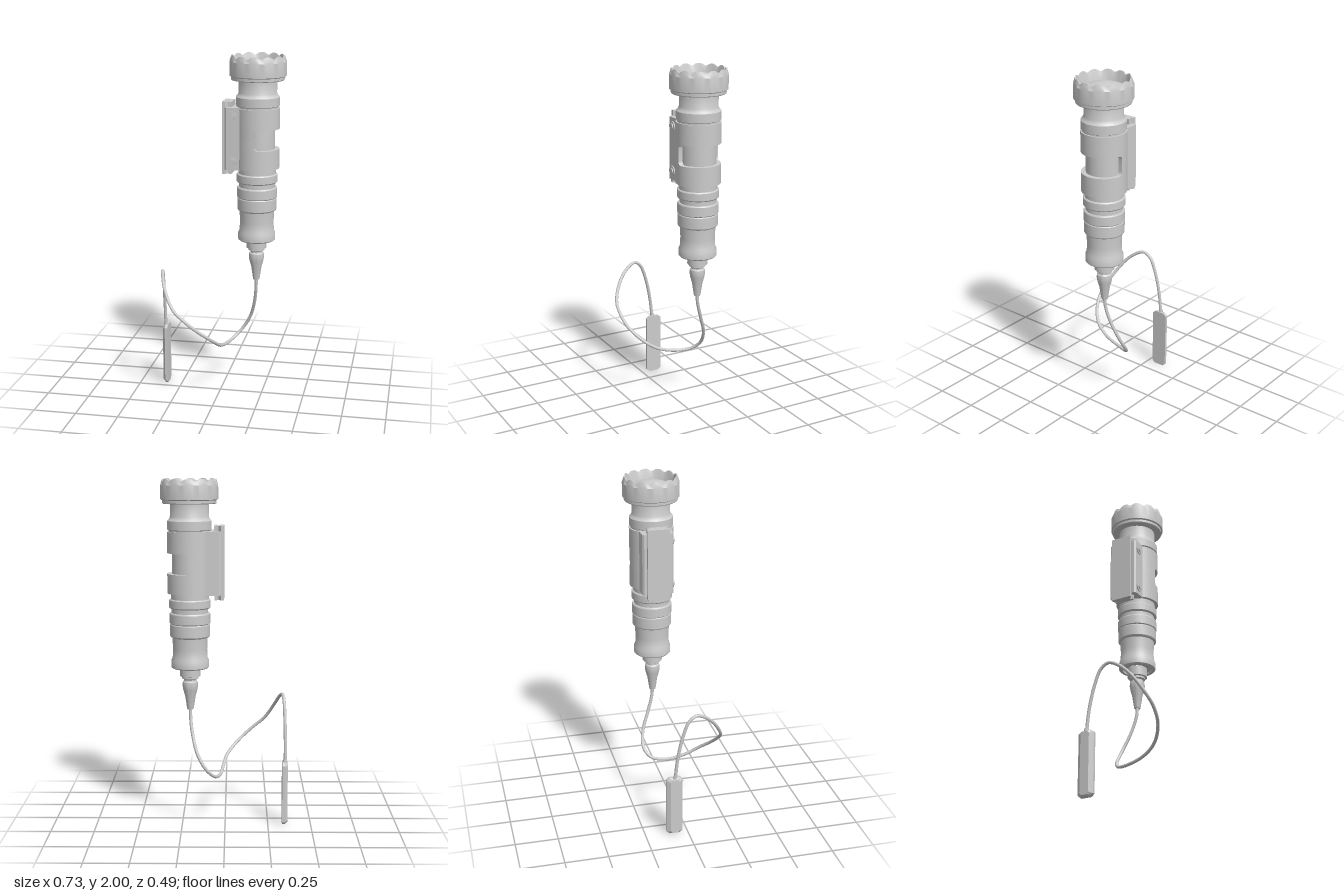
import * as THREE from 'three';
import { toCreasedNormals } from 'three/addons/utils/BufferGeometryUtils.js';

const AX = 0.2, AZ = -0.08; // axis of the torch
const material = new THREE.MeshStandardMaterial({ color: 0xcccccc });

export function createModel() {
  const model = new THREE.Group();
  const torch = new THREE.Group();
  torch.name = 'torch';
  torch.position.set(AX, 0, AZ);
  model.add(torch);

  const add = (parent, name, geometry, x = 0, y = 0, z = 0) => {
    const mesh = new THREE.Mesh(geometry, material);
    mesh.name = name;
    mesh.position.set(x, y, z);
    parent.add(mesh);
    return mesh;
  };
  const crease = (g) => toCreasedNormals(g, 0.5);
  const lathe = (pts, seg = 48) =>
    new THREE.LatheGeometry(pts.map(([r, y]) => new THREE.Vector2(r, y)), seg);

  // Strain relief where the cable leaves the tail
  add(torch, 'strainRelief', crease(lathe([
    [0, 0.684], [0.018, 0.684], [0.021, 0.70], [0.03, 0.76], [0.041, 0.80], [0.045, 0.825],
    [0.043, 0.845], [0.036, 0.852], [0.036, 0.86], [0.047, 0.866], [0.047, 0.877],
    [0.058, 0.88], [0.058, 0.935],
  ], 32)));

  // Tail cap and battery tube
  add(torch, 'body', crease(lathe([
    [0.05, 0.94], [0.085, 0.94], [0.085, 0.928], [0.102, 0.928], [0.108, 0.934], [0.108, 0.972],
    [0.1, 0.99], [0.098, 1.04], [0.101, 1.105], [0.11, 1.109], [0.114, 1.115], [0.114, 1.178],
    [0.111, 1.183], [0.116, 1.188], [0.116, 1.24], [0.112, 1.247], [0.104, 1.247], [0.104, 1.273],
    [0.113, 1.273], [0.118, 1.279], [0.118, 1.32], [0.113, 1.326], [0.108, 1.326], [0.108, 1.358],
    [0.1, 1.362], [0.1, 1.7], [0.118, 1.703], [0.118, 1.713], [0.125, 1.717], [0.125, 1.766],
    [0.119, 1.772], [0.117, 1.774], [0.109, 1.79], [0.109, 1.865],
  ])));

  // Head with a scalloped rim
  const head = lathe([
    [0.1, 1.862], [0.15, 1.862], [0.153, 1.866], [0.153, 1.881], [0.162, 1.886], [0.162, 1.965],
    [0.156, 1.985], [0.151, 2], [0.145, 2], [0.136, 1.965], [0.13, 1.935], [0.12, 1.935],
  ], 96);
  const p = head.attributes.position;
  for (let i = 0; i < p.count; i++) {
    if (p.getY(i) < 1.98) continue;
    const dip = 0.5 - 0.5 * Math.cos(12 * Math.atan2(p.getX(i), p.getZ(i)));
    p.setY(i, p.getY(i) - 0.014 * dip * dip);
  }
  add(torch, 'head', crease(head));

  // Domed lens
  const dome = [];
  for (let i = 0; i <= 10; i++) {
    const a = (i / 10) * Math.PI / 2;
    dome.push([0.13 * Math.cos(a), 1.937 + 0.035 * Math.sin(a) ** 2]);
  }
  add(torch, 'lens', lathe(dome));

  // Mount sleeve: two bands whose facing edges open into a round-cornered window
  const ro = 0.127, midY = 1.528, open = 0.058, corner = 0.022;
  const columns = [];
  for (let i = 0; i <= 48; i++) {
    const t = Math.PI * (1 - Math.cos(Math.PI * i / 48)) / 2;
    const s = Math.min(corner, ro * Math.min(t, Math.PI - t));
    columns.push([t, open - corner + Math.sqrt(Math.max(0, corner ** 2 - (corner - s) ** 2))]);
  }
  for (let i = 0; i <= 32; i++) columns.push([Math.PI * (1 + i / 32), 0]);
  const band = (ends) => {
    const pos = [], index = [], n = columns.length;
    for (const [t, h] of columns) {
      const [yb, yt] = ends(h);
      for (const [r, y] of [[0.099, yb], [ro, yb], [ro, yt], [0.099, yt]]) {
        pos.push(r * Math.sin(t), y, r * Math.cos(t));
      }
    }
    for (let i = 0; i < n; i++) for (let j = 0; j < 4; j++) {
      const k = (j + 1) % 4, m = (i + 1) % n;
      const a = i * 4 + j, b = m * 4 + j, c = m * 4 + k, d = i * 4 + k;
      index.push(a, b, d, c, d, b);
    }
    const g = new THREE.BufferGeometry();
    g.setAttribute('position', new THREE.Float32BufferAttribute(pos, 3));
    g.setIndex(index);
    return crease(g);
  };
  add(torch, 'sleeveLower', band((h) => [1.358, midY - h]));
  add(torch, 'sleeveUpper', band((h) => [midY + h, 1.705]));

  // Extrudes an outline given as (x, z) upward between two heights
  const upright = (pts, y0, y1) => {
    const shape = new THREE.Shape(pts.map(([x, z]) => new THREE.Vector2(x, -z)));
    const g = new THREE.ExtrudeGeometry(shape, { depth: y1 - y0, bevelEnabled: false });
    return g.rotateX(-Math.PI / 2).translate(0, y0, 0);
  };
  const mirrored = (half) => [...half, ...half.map(([x, z]) => [x, -z]).reverse()];

  // Rail clamp on the side of the sleeve
  const mount = new THREE.Group();
  mount.name = 'railMount';
  mount.position.z = AZ;
  model.add(mount);
  add(mount, 'clampBlock', upright(mirrored([
    [0.045, 0.05], [0.023, 0.068], [0.023, 0.08], [0.034, 0.09], [0.115, 0.09],
  ]), 1.353, 1.71));
  add(mount, 'rail', upright(mirrored([
    [0.005, 0.064], [0.023, 0.064], [0.036, 0.045], [0.042, 0.045], [0.046, 0.06], [0.06, 0.06],
  ]), 1.324, 1.74));
  for (const y of [1.405, 1.66]) {
    const screw = new THREE.Group();
    screw.name = 'clampScrew';
    screw.position.set(0.068, y, 0.09);
    mount.add(screw);
    add(screw, 'washer', new THREE.CylinderGeometry(0.029, 0.029, 0.012, 24).rotateX(Math.PI / 2));
    add(screw, 'screwHead', new THREE.CylinderGeometry(0.017, 0.02, 0.024, 24).rotateX(Math.PI / 2));
  }

  // Looping cable to the pressure switch
  const path = new THREE.CatmullRomCurve3([
    [0.2, 0.7, -0.08], [0.199, 0.64, -0.084], [0.187, 0.54, -0.112], [0.155, 0.425, -0.152],
    [0.105, 0.34, -0.16], [0.06, 0.293, -0.125], [0.028, 0.283, -0.04], [0.01, 0.31, 0.07],
    [-0.015, 0.36, 0.15], [-0.09, 0.435, 0.217], [-0.17, 0.505, 0.236], [-0.235, 0.562, 0.225],
    [-0.295, 0.662, 0.168], [-0.322, 0.722, 0.105], [-0.337, 0.743, 0.05], [-0.344, 0.715, 0.008],
    [-0.348, 0.63, -0.028], [-0.351, 0.49, -0.06], [-0.351, 0.34, -0.077],
  ].map((v) => new THREE.Vector3(...v)));
  add(model, 'cable', new THREE.TubeGeometry(path, 120, 0.0095, 10));

  // Pressure switch: a clipped slab that narrows toward its outer face
  const pad = new THREE.Shape([
    [0.03, 0], [0.048, 0.015], [0.048, 0.355], [0.03, 0.37],
    [-0.03, 0.37], [-0.048, 0.355], [-0.048, 0.015], [-0.03, 0],
  ].map(([x, y]) => new THREE.Vector2(x, y)));
  const padGeo = new THREE.ExtrudeGeometry(pad, { depth: 0.032, steps: 2, bevelEnabled: false });
  const q = padGeo.attributes.position;
  for (let i = 0; i < q.count; i++) {
    if (q.getZ(i) < 0.02) continue;
    q.setX(i, q.getX(i) * 0.55);
    q.setY(i, 0.185 + (q.getY(i) - 0.185) * 0.95);
  }
  padGeo.rotateY(-Math.PI / 2);
  padGeo.computeVertexNormals();
  add(model, 'pressureSwitch', padGeo, -0.333, 0, -0.078);
  add(model, 'cableCollar', new THREE.CylinderGeometry(0.012, 0.013, 0.03, 12), -0.35, 0.365, -0.076);

  return model;
}
